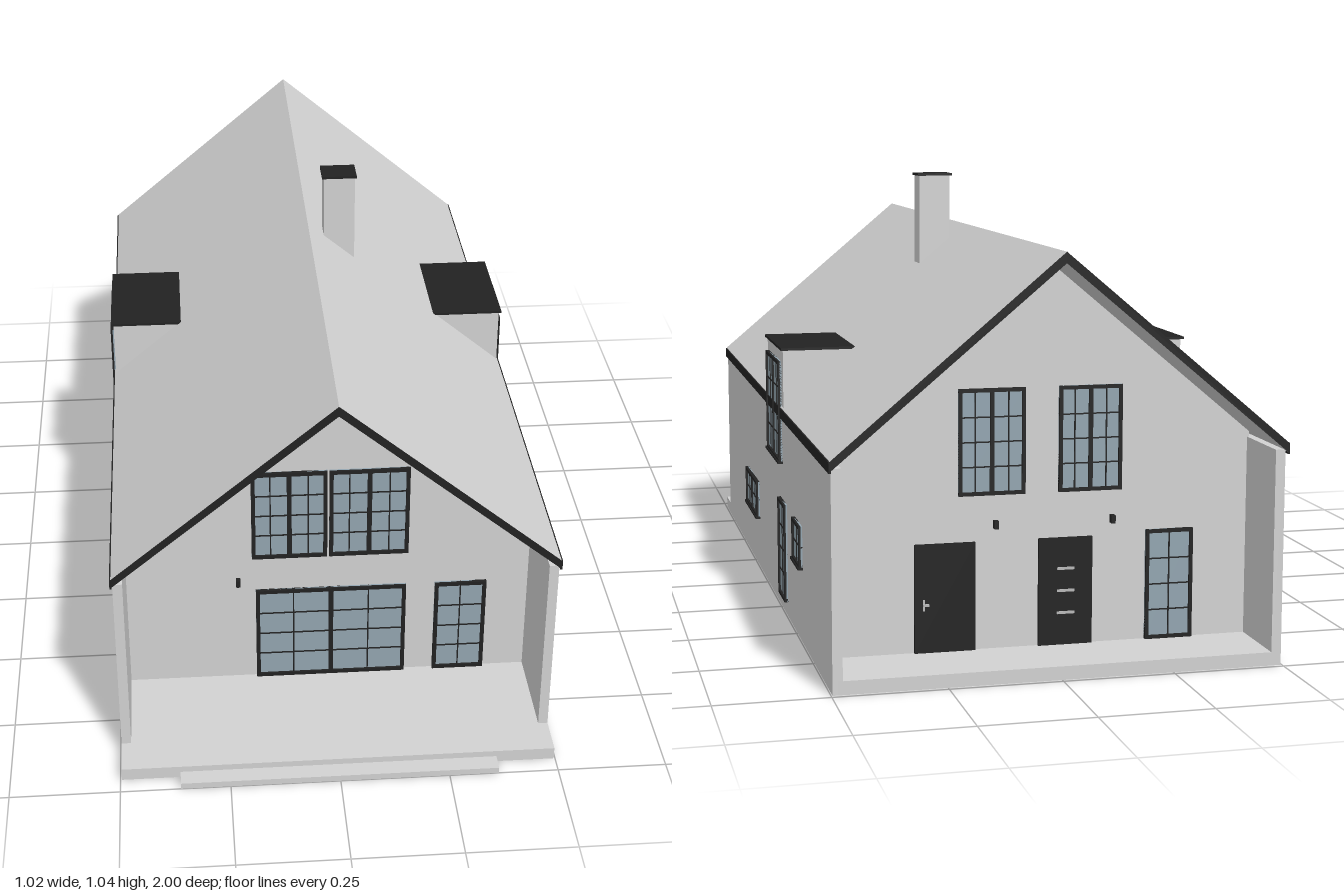
import * as THREE from 'three';

const mat = (name, color, side = THREE.FrontSide) => {
  const m = new THREE.MeshStandardMaterial({ color, side });
  m.name = name;
  return m;
};

export function createModel() {
  const plaster = mat('pale plaster', 0xd2d2d2);
  const black = mat('black trim', 0x222222);
  const glass = mat('blue grey glass', 0x93a5b0);
  const metal = mat('metal', 0xb8b8b8);
  const house = new THREE.Group();
  house.name = 'house';

  // Box given by its limits on each axis
  function box(parent, name, m, [x0, x1], [y0, y1], [z0, z1]) {
    const mesh = new THREE.Mesh(new THREE.BoxGeometry(x1 - x0, y1 - y0, z1 - z0), m);
    mesh.position.set((x0 + x1) / 2, (y0 + y1) / 2, (z0 + z1) / 2);
    mesh.name = name;
    parent.add(mesh);
    return mesh;
  }

  // Profile in x and y, drawn out along z
  function extrude(name, points, z0, z1, m) {
    const shape = new THREE.Shape(points.map(([x, y]) => new THREE.Vector2(x, y)));
    const geo = new THREE.ExtrudeGeometry(shape, { depth: z1 - z0, bevelEnabled: false });
    const mesh = new THREE.Mesh(geo, m);
    mesh.position.z = z0;
    mesh.name = name;
    house.add(mesh);
  }

  // Wall faces: places a local facing group on a side of the house
  const FRONT = 0.64, BACK = -0.82, SIDE = 0.497;
  const faces = {
    front: [0, 0, FRONT, 0],
    back: [0, 0, BACK, Math.PI],
    left: [SIDE, 0, 0, Math.PI / 2],
    right: [-SIDE, 0, 0, -Math.PI / 2],
  };
  function onFace(face, name) {
    const [x, y, z, turn] = faces[face];
    const g = new THREE.Group();
    g.name = name;
    g.position.set(x, y, z);
    g.rotation.y = turn;
    house.add(g);
    return g;
  }
  // Converts a world range along the wall into the local one
  function span(face, a, b) {
    const s = face === 'back' || face === 'left' ? -1 : 1;
    return [Math.min(a * s, b * s), Math.max(a * s, b * s)];
  }

  // Window of one or two sashes with thin glazing bars
  function addWindow(face, name, a, b, y0, y1, sashes, rows, edge = 0.008, sill = false) {
    const g = onFace(face, name);
    const [l, r] = span(face, a, b);
    box(g, 'glass', glass, [l, r], [y0, y1], [-0.002, 0.004]);
    const bar = (n, xs, ys, d) => box(g, n, black, xs, ys, [-0.002, d]);
    bar('frame', [l, l + edge], [y0, y1], 0.009);
    bar('frame', [r - edge, r], [y0, y1], 0.009);
    bar('frame', [l, r], [y0, y0 + edge], 0.009);
    bar('frame', [l, r], [y1 - edge, y1], 0.009);
    const w = (r - l) / sashes;
    for (let i = 0; i < sashes; i++) {
      const x = l + w * i;
      if (i) bar('mullion', [x - edge * 0.6, x + edge * 0.6], [y0, y1], 0.008);
      bar('glazingBar', [x + w / 2 - 0.0015, x + w / 2 + 0.0015], [y0, y1], 0.006);
    }
    for (let j = 1; j < rows; j++) {
      const y = y0 + edge + ((y1 - y0 - 2 * edge) * j) / rows;
      bar('glazingBar', [l, r], [y - 0.0015, y + 0.0015], 0.006);
    }
    if (sill) bar('sill', [l - 0.005, r + 0.005], [y0 - 0.002, y0 + 0.003], 0.012);
  }

  // Base, porch and step
  box(house, 'floor', plaster, [-0.485, 0.485], [0, 0.03], [-0.99, 0.88]);
  box(house, 'porch', plaster, [-0.497, 0.497], [0, 0.03], [0.87, 0.96]);
  box(house, 'step', plaster, [-0.363, 0.363], [0, 0.015], [0.95, 1]);

  // Body between the two recessed gable walls
  extrude('body', [[-0.48, 0], [0.48, 0], [0.48, 0.5], [0, 0.903], [-0.48, 0.5]], BACK, FRONT, plaster);

  // Roof with black gable edges and eaves
  extrude('roof', [[-0.5, 0.475], [0, 0.893], [0.5, 0.475], [0.5, 0.497], [0, 0.917], [-0.5, 0.497]],
    -1, 0.875, [black, plaster]);

  for (const s of [-1, 1]) {
    const xs = (a, b) => (s > 0 ? [a, b] : [-b, -a]);
    box(house, 'sideWall', plaster, xs(0.475, SIDE), [0, 0.48], [-0.99, 0.87]);
    box(house, 'eave', black, xs(0.498, 0.503), [0.472, 0.496], [-1, 0.875]);
    // Dormers
    box(house, 'dormer', plaster, xs(0.32, SIDE), [0.49, 0.638], [-0.305, -0.035]);
    box(house, 'dormerRoof', black, xs(0.32, 0.503), [0.638, 0.644], [-0.315, -0.03]);
  }

  // Chimney
  box(house, 'chimney', plaster, [0.04, 0.117], [0.8, 1.04], [-0.08, -0.018]);
  box(house, 'chimneyCap', black, [0.035, 0.121], [1.038, 1.044], [-0.084, -0.014]);

  // Front windows
  addWindow('front', 'frontLargeWindow', -0.172, 0.184, 0.03, 0.283, 2, 4, 0.009);
  addWindow('front', 'frontNarrowWindow', 0.253, 0.376, 0.03, 0.283, 1, 4, 0.009);
  addWindow('front', 'frontUpperWindow', -0.18, -0.004, 0.375, 0.61, 2, 4, 0.009);
  addWindow('front', 'frontUpperWindow', 0.001, 0.187, 0.375, 0.61, 2, 4, 0.009);

  // Back windows
  addWindow('back', 'backUpperWindow', 0.04, 0.19, 0.375, 0.61, 2, 4);
  addWindow('back', 'backUpperWindow', -0.18, -0.036, 0.375, 0.61, 2, 4);
  addWindow('back', 'backNarrowWindow', -0.348, -0.238, 0.03, 0.28, 1, 4);

  // Windows on the left wall
  addWindow('left', 'leftWideWindow', 0.17, 0.4, 0.132, 0.228, 2, 2, 0.008, true);
  addWindow('left', 'leftTallWindow', -0.346, -0.238, 0.035, 0.272, 1, 4);
  addWindow('left', 'leftSmallWindow', -0.586, -0.474, 0.174, 0.272, 1, 2, 0.008, true);
  addWindow('left', 'leftDormerWindow', -0.276, -0.058, 0.362, 0.608, 2, 4, 0.008, true);

  // Windows on the right wall
  addWindow('right', 'rightWideWindow', -0.684, -0.505, 0.037, 0.287, 2, 4);
  for (const [a, b] of [[-0.305, -0.205], [0.078, 0.2], [0.468, 0.59]])
    addWindow('right', 'rightTallWindow', a, b, 0.037, 0.287, 1, 4);
  addWindow('right', 'rightDormerWindow', -0.276, -0.055, 0.368, 0.615, 2, 4, 0.008, true);

  // Back doors
  const doors = onFace('back', 'backDoors');
  box(doors, 'plainDoor', black, [-0.288, -0.152], [0.03, 0.272], [-0.002, 0.007]);
  box(doors, 'doorHandle', metal, [-0.27, -0.256], [0.135, 0.14], [0.006, 0.012]);
  box(doors, 'doorPlate', metal, [-0.27, -0.266], [0.125, 0.15], [0.006, 0.01]);
  box(doors, 'panelDoor', black, [-0.009, 0.114], [0.03, 0.272], [-0.002, 0.007]);
  for (const y of [0.1, 0.15, 0.2])
    box(doors, 'doorBar', metal, [0.033, 0.073], [y, y + 0.006], [0.006, 0.009]);

  // Wall lamps
  for (const [face, x] of [['front', -0.213], ['back', -0.106], ['back', 0.16]])
    box(onFace(face, 'wallLamp'), 'lamp', black, [x - 0.005, x + 0.005], [0.3, 0.318], [-0.002, 0.014]);

  return house;
}
